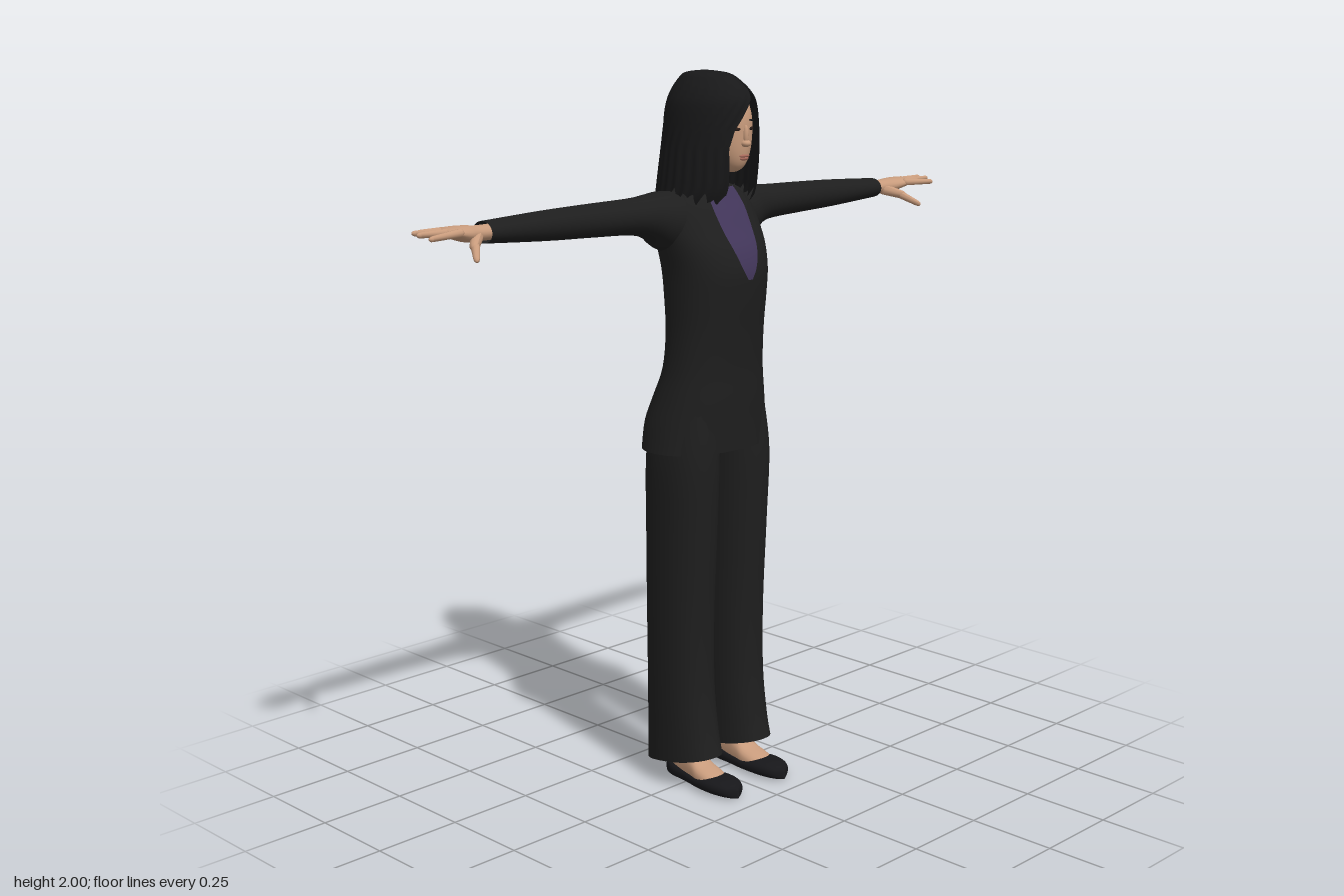
import * as THREE from 'three';

const mat = (name, color) => new THREE.MeshStandardMaterial({ name, color, side: THREE.DoubleSide });
const TAU = Math.PI * 2;
const pw = (v, p) => Math.sign(v) * Math.abs(v) ** p;

// Catmull-Rom resampling of a table of cross-sections
function smooth(rows, n) {
  const out = [], last = rows.length - 1;
  for (let i = 0; i <= n; i++) {
    const f = (i / n) * last, k = Math.min(Math.floor(f), last - 1), t = f - k;
    const [a, b, c, d] = [-1, 0, 1, 2].map(o => rows[THREE.MathUtils.clamp(k + o, 0, last)]);
    out.push(b.map((_, j) => b[j] + 0.5 * t * (c[j] - a[j] + t * (2 * a[j] - 5 * b[j] + 4 * c[j] - d[j]
      + t * (3 * (b[j] - c[j]) + d[j] - a[j])))));
  }
  return out;
}

// Row of a table at height y (first column, falling)
function at(rows, y) {
  let i = 0;
  while (i < rows.length - 2 && rows[i + 1][0] > y) i++;
  const a = rows[i], b = rows[i + 1];
  const t = THREE.MathUtils.clamp((y - a[0]) / (b[0] - a[0]), 0, 1);
  return a.map((v, j) => v + (b[j] - v) * t);
}

// Surface from fn(u, v) -> [x, y, z]; closed joins u = 1 to u = 0; faces are turned outward
function grid(fn, nu, nv, closed) {
  const pos = [], idx = [], cols = closed ? nu : nu + 1;
  for (let j = 0; j <= nv; j++) for (let i = 0; i < cols; i++) pos.push(...fn(i / nu, j / nv));
  for (let j = 0; j < nv; j++) for (let i = 0; i < nu; i++) {
    const a = j * cols + i, b = j * cols + (i + 1) % cols, c = a + cols, d = b + cols;
    idx.push(a, c, b, b, c, d);
  }
  const g = new THREE.BufferGeometry();
  g.setAttribute('position', new THREE.Float32BufferAttribute(pos, 3));
  g.computeBoundingBox();
  const mid = g.boundingBox.getCenter(new THREE.Vector3());
  const P = i => new THREE.Vector3().fromArray(pos, i * 3).sub(mid);
  let vol = 0;
  for (let i = 0; i < idx.length; i += 3) vol += P(idx[i]).dot(P(idx[i + 1]).cross(P(idx[i + 2])));
  if (vol < 0) for (let i = 0; i < idx.length; i += 3) [idx[i], idx[i + 1]] = [idx[i + 1], idx[i]];
  g.setIndex(idx);
  g.computeVertexNormals();
  return g;
}

// Tube of cross-sections: ring(row, cos, sin) -> [x, y, z]
function loft(rows, n, seg, ring) {
  const s = smooth(rows, n);
  return grid((u, v) => ring(s[Math.round(v * n)], Math.cos(u * TAU), Math.sin(u * TAU)), seg, n, true);
}

function mirrored(geo) {
  const g = geo.clone().scale(-1, 1, 1), ix = g.index.array;
  for (let i = 0; i < ix.length; i += 3) [ix[i], ix[i + 1]] = [ix[i + 1], ix[i]];
  g.computeVertexNormals();
  return g;
}

// Tapered finger between two points
function finger(p, q, r, taper) {
  const a = new THREE.Vector3(...p), b = new THREE.Vector3(...q), dir = b.clone().sub(a), len = dir.length();
  const g = new THREE.CapsuleGeometry(r, len - r, 5, 10), pos = g.attributes.position;
  for (let i = 0; i < pos.count; i++) {
    const k = 1 - taper * (pos.getY(i) / len + 0.5);
    pos.setX(i, pos.getX(i) * k);
    pos.setZ(i, pos.getZ(i) * k);
  }
  g.applyQuaternion(new THREE.Quaternion().setFromUnitVectors(new THREE.Vector3(0, 1, 0), dir.normalize()));
  a.add(b).multiplyScalar(0.5);
  g.translate(a.x, a.y, a.z);
  g.computeVertexNormals();
  return g;
}

export function createModel() {
  const model = new THREE.Group();
  model.name = 'standingWoman';
  const suit = mat('black suit', 0x1e1e1e), hairMat = mat('black hair', 0x181819), skin = mat('skin', 0xc89b7c);
  const purple = mat('purple blouse', 0x42365a), leather = mat('shoe leather', 0x17171a);
  const lipMat = mat('lips', 0xa86a5c), eyeMat = mat('dark eyes', 0x2a1d18);
  const add = (name, geo, m) => {
    const mesh = new THREE.Mesh(geo, m);
    mesh.name = name;
    model.add(mesh);
  };
  const pair = (name, geo, m) => {
    add('left' + name, geo, m);
    add('right' + name, mirrored(geo), m);
  };

  // Jacket body: y, half width, front z, back z
  const torso = smooth([[1.7, .05, .02, -.075], [1.688, .09, .03, -.1], [1.66, .135, .045, -.122], [1.63, .155, .064, -.135],
    [1.58, .162, .092, -.14], [1.53, .157, .12, -.135], [1.47, .15, .135, -.125], [1.4, .148, .13, -.115],
    [1.3, .148, .116, -.105], [1.2, .156, .106, -.11], [1.12, .172, .105, -.14], [1.05, .188, .102, -.164], [.975, .2, .1, -.167]], 48);
  add('jacketBody', loft(torso, 48, 48, ([y, w, f, b], c, s) =>
    [w * pw(s, .9), y, (f + b) / 2 + (f - b) / 2 * pw(c, .9)]), suit);

  // Blouse: thin panel following the chest
  const neckline = smooth([[1.69, .05], [1.64, .06], [1.56, .052], [1.49, .03], [1.45, .008]], 20);
  add('blousePanel', grid((u, v) => {
    const [y, e] = neckline[Math.round(v * 20)], [, w, f, b] = at(torso, y), x = (u * 2 - 1) * e;
    const s = Math.min(1, Math.abs(x) / w) ** (1 / .9);
    return [x, y, (f + b) / 2 + (f - b) / 2 * Math.sqrt(1 - s * s) ** .9 + .005];
  }, 12, 20, false), purple);

  // Sleeves: x, centre y, centre z, half height, half depth
  pair('Sleeve', loft([[.08, 1.6, -.05, .08, .085], [.15, 1.605, -.05, .08, .08], [.2, 1.619, -.05, .061, .064],
    [.26, 1.625, -.052, .049, .054], [.4, 1.626, -.06, .044, .047], [.55, 1.626, -.065, .039, .042], [.745, 1.627, -.067, .028, .038]],
    30, 24, ([x, y, z, h, d], c, s) => [x, y + h * c, z + d * s]), suit);

  // Hands
  pair('Palm', loft([[.72, 1.627, -.066, .02, .027], [.77, 1.627, -.064, .02, .027], [.81, 1.63, -.06, .021, .037],
    [.85, 1.636, -.056, .016, .042], [.875, 1.639, -.055, .011, .038], [.885, 1.64, -.055, .001, .02]],
    18, 20, ([x, y, z, h, d], c, s) => [x, y + h * c, z + d * s]), skin);
  const fingers = [['Index', -.024, .952, 1.634, -.005, .011], ['Middle', -.046, .965, 1.642, -.035, .011],
    ['Ring', -.068, .96, 1.644, -.062, .0105], ['Little', -.086, .922, 1.64, -.095, .0095]];
  for (const [name, z0, x, y, z, r] of fingers)
    pair(name + 'Finger', finger([.845, 1.639, z0], [x, y, z], r, .35), skin);
  pair('ThumbBase', finger([.775, 1.622, -.052], [.822, 1.602, -.005], .017, .3), skin);
  pair('Thumb', finger([.812, 1.606, -.014], [.846, 1.577, .034], .012, .35), skin);

  // Trousers: y, centre x, half width, front z, back z, hem slant
  pair('TrouserLeg', loft([[1.1, .09, .075, .08, -.12, 0], [.95, .1, .085, .09, -.132, 0], [.75, .1, .084, .082, -.134, 0],
    [.5, .1, .08, .071, -.135, 0], [.3, .1, .077, .074, -.136, 0], [.16, .1, .076, .092, -.138, .005], [.075, .1, .077, .108, -.14, .025]],
    36, 32, ([y, x, w, f, b, slant], c, s) =>
      [x + w * pw(s, .9), y + slant * c, (f + b) / 2 + (f - b) / 2 * pw(c, .9)]), suit);

  // Feet and flat shoes: z, centre x, half width, height
  const along = ([z, x, w, h], c, s) => [x + w * pw(c, .8), h / 2 + h / 2 * pw(s, .8), z];
  pair('Shoe', loft([[-.087, .09, .002, .045], [-.08, .09, .022, .052], [-.05, .09, .035, .048], [0, .091, .038, .042],
    [.06, .093, .047, .04], [.11, .095, .051, .046], [.15, .095, .045, .045], [.178, .095, .03, .038], [.191, .095, .003, .024]],
    40, 24, along), leather);
  pair('Foot', loft([[-.075, .09, .004, .08], [-.065, .09, .022, .1], [0, .091, .032, .1], [.03, .092, .036, .086],
    [.06, .093, .041, .066], [.095, .094, .04, .054], [.12, .095, .028, .044], [.13, .095, .002, .03]], 28, 24, along), skin);
  pair('Ankle', new THREE.CylinderGeometry(.034, .031, .18, 20).translate(.091, .16, -.028), skin);

  // Neck and head, narrowed toward a forward chin
  add('neck', new THREE.CylinderGeometry(.044, .048, .18, 24).translate(0, 1.71, -.01), skin);
  const headY = 1.857, jaw = Y => Math.max(0, -Y) ** 2;
  const head = new THREE.SphereGeometry(1, 40, 30), hp = head.attributes.position;
  for (let i = 0; i < hp.count; i++) {
    const Y = hp.getY(i), k = jaw(Y);
    hp.setXYZ(i, hp.getX(i) * .078 * (1 - .12 * k), headY + .124 * Y, .02 + .1 * hp.getZ(i) + .045 * k);
  }
  head.computeVertexNormals();
  add('head', head, skin);
  const faceZ = (x, y) => {
    const Y = (y - headY) / .124, k = jaw(Y), X = x / (.078 * (1 - .12 * k));
    return .02 + .1 * Math.sqrt(Math.max(0, 1 - X * X - Y * Y)) + .045 * k;
  };

  // Face details
  const spot = (x, y, rx, ry, rz, tilt = 0) =>
    new THREE.SphereGeometry(1, 16, 10).scale(rx, ry, rz).rotateY(x * 12).rotateZ(tilt).translate(x, y, faceZ(x, y));
  pair('Eye', spot(.028, 1.85, .012, .0045, .003), eyeMat);
  pair('Brow', spot(.029, 1.872, .016, .0025, .003, -.08), hairMat);
  add('noseBridge', spot(0, 1.835, .008, .026, .008), skin);
  add('noseTip', spot(0, 1.812, .014, .01, .015), skin);
  add('upperLip', spot(0, 1.779, .02, .004, .004), lipMat);
  add('lowerLip', spot(0, 1.772, .016, .005, .005), lipMat);

  // Hair: shell with an off-centre parting, open over the face, and a ragged lower edge
  const shell = smooth([[2, .002, -.03, -.034], [1.993, .045, .04, -.092], [1.975, .066, .08, -.115], [1.94, .09, .119, -.138],
    [1.9, .104, .132, -.15], [1.8, .115, .133, -.16], [1.7, .122, .12, -.173], [1.65, .12, .1, -.178], [1.56, .09, .06, -.187]], 60);
  const opening = [[2, .32, .3], [1.95, .34, .28], [1.9, .52, -.1], [1.85, .56, -.4], [1.8, .55, -.5], [1.7, .5, -.42], [1.56, .6, -.5]];
  const lowerEdge = u => {
    const q = 1 - Math.abs(2 * u - 1), jag = Math.abs(((u * 24) % 1) - .5) * 2;
    const y = q < .5 ? 1.648 + .04 * q : 1.668 - .095 * THREE.MathUtils.smoothstep(q, .5, .8);
    return y + .022 * jag + .008 * Math.sin(u * 90);
  };
  add('hair', grid((u, v) => {
    const y = THREE.MathUtils.lerp(2, lowerEdge(u), v ** 1.7);
    const [, w, f, b] = at(shell, y), [, right, left] = at(opening, y);
    const a0 = Math.asin(right), a = a0 + u * (TAU + Math.asin(left) - a0);
    const r = 1 + .012 * v * Math.cos(u * 24 * TAU);
    return [w * r * Math.sin(a), y, (f + b) / 2 + (f - b) / 2 * r * Math.cos(a)];
  }, 192, 40, false), hairMat);

  return model;
}
